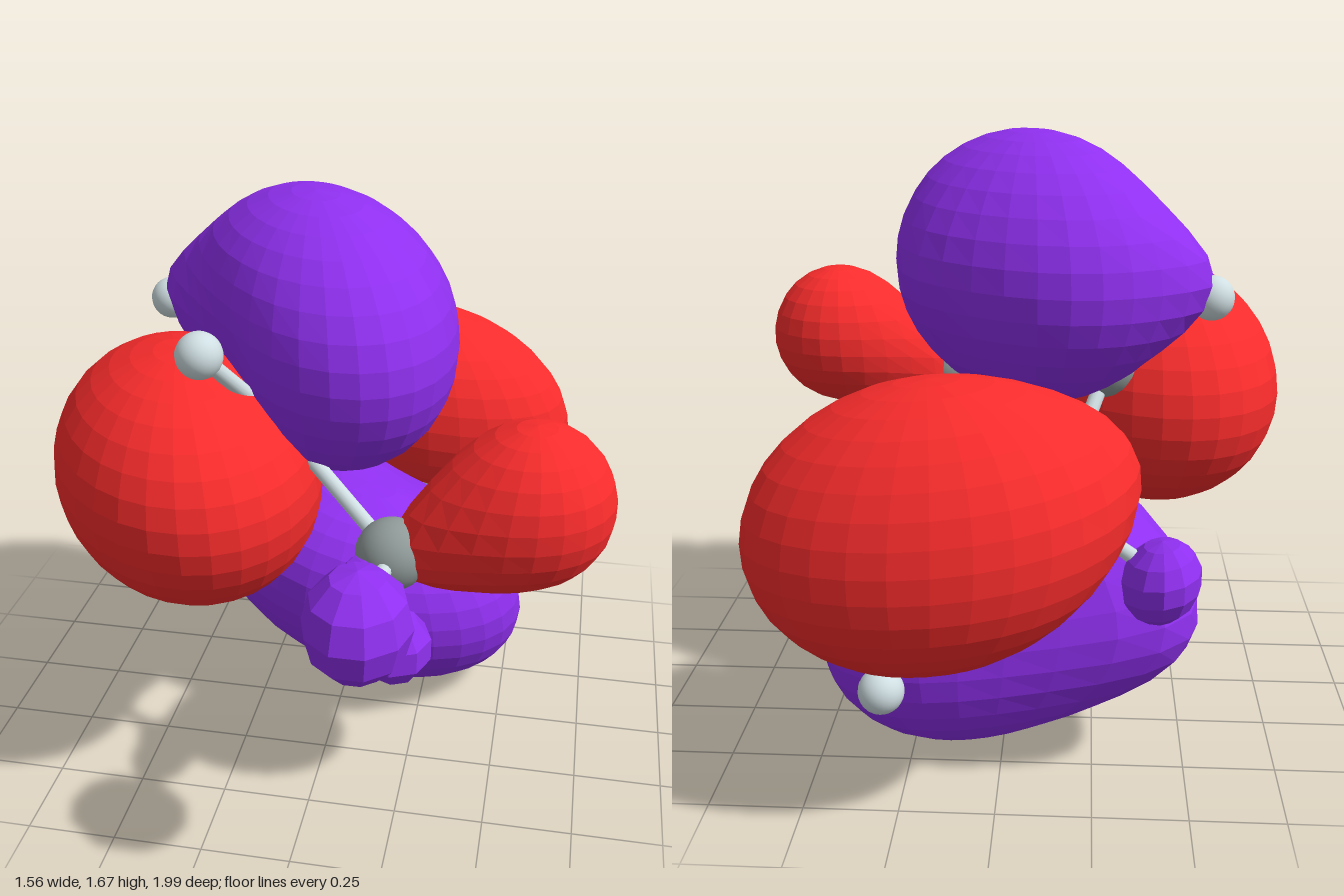
import * as THREE from 'three';

const PURPLE = 0x9030f0, RED = 0xfa2c2c, CARBON = 0x8f9a98, PALE = 0xd0dfe3;

const V = (a) => new THREE.Vector3(...a);
const paint = (color, flatShading = false) => new THREE.MeshStandardMaterial({ color, flatShading });

export function createModel() {
  const model = new THREE.Group();
  const purple = paint(PURPLE, true), red = paint(RED, true);
  const carbonMat = paint(CARBON), paleMat = paint(PALE);

  function add(name, geometry, material) {
    const mesh = new THREE.Mesh(geometry, material);
    mesh.name = name;
    model.add(mesh);
    return mesh;
  }

  // Lobe: a unit sphere sheared into a tilted ellipsoid, then bulged or dented.
  // shape = [ax, bx, by, cx, cy, cz]: x = ax*u, y = bx*u + by*v, z = cx*u + cy*v + cz*w
  // bulges = [direction, push, sharpness]: the push fades with the angle from the direction
  function lobe(name, material, centre, shape, bulges = [], segments = 30) {
    const geometry = new THREE.SphereGeometry(1, segments, Math.round(segments * 0.6));
    const pos = geometry.attributes.position, p = new THREE.Vector3();
    const [ax, bx, by, cx, cy, cz] = shape;
    for (let i = 0; i < pos.count; i++) {
      const u = pos.getX(i), v = pos.getY(i), w = pos.getZ(i);
      p.set(ax * u, bx * u + by * v, cx * u + cy * v + cz * w);
      const direction = p.clone().normalize();
      for (const [towards, push, sharp] of bulges) {
        const cos = direction.dot(V(towards).normalize());
        p.addScaledVector(V(push), Math.exp(sharp * (cos - 1)));
      }
      p.add(V(centre));
      pos.setXYZ(i, p.x, p.y, p.z);
    }
    geometry.computeVertexNormals();
    add(name, geometry, material);
  }

  // Large lobes
  lobe('upperPurpleLobe', purple, [-0.055, 1.29, 0.05], [0.4, 0, 0.38, 0.17, 0.015, 0.465], [
    [[-0.5, 0, -0.25], [-0.11, 0, -0.05], 13],
    [[-0.4, -0.15, 0.4], [0.05, 0.02, -0.04], 4],
    [[0.5, 0, -0.4], [0.03, 0, -0.03], 4],
  ]);
  lobe('lowerPurpleLobe', purple, [0.07, 0.37, -0.2], [0.475, -0.09, 0.358, 0, 0.1, 0.387], [
    [[-0.5, 0.05, -0.35], [-0.19, 0.04, -0.12], 5],
    [[-0.2, 0.37, -0.16], [-0.02, 0.08, -0.04], 9],
  ]);
  lobe('lowerPurpleTail', purple, [-0.42, 0.58, -0.55], [0.105, -0.02, 0.11, 0.01, 0, 0.13],
    [[[0.1, -0.1, 0.2], [0.06, -0.06, 0.08], 3]], 12);
  lobe('frontRedLobe', red, [-0.387, 0.923, 0.24], [0.395, 0, 0.362, 0.12, 0.04, 0.475]);
  lobe('backRedLobe', red, [0.175, 0.765, -0.65], [0.475, -0.05, 0.36, 0.03, 0.05, 0.345],
    [[[-0.5, 0.09, 0.23], [-0.1, 0.03, 0.05], 6]]);

  // Small lobes around the end of the chain
  lobe('sideRedLobe', red, [0.575, 0.995, 0.42], [0.21, 0, 0.215, 0, 0, 0.22],
    [[[-0.33, -0.16, 0.07], [-0.17, -0.08, 0.035], 3]], 22);
  lobe('frontPurpleBall', purple, [0.2, 0.865, 0.85], [0.135, 0, 0.145, 0, 0, 0.15], [], 10);
  lobe('frontPurpleNeck', purple, [0.17, 0.8, 0.57], [0.075, 0, 0.08, 0.02, 0.03, 0.1],
    [[[0.02, 0.05, 0.17], [0.01, 0.02, 0.07], 6]], 8);
  lobe('lowPurpleBall', purple, [0.23, 0.515, 0.42], [0.105, 0, 0.105, 0, 0, 0.11],
    [[[0.01, -0.02, -0.18], [0, -0.01, -0.07], 8]], 8);

  // Atoms
  const carbons = [
    [0.23, 0.86, 0.51], [-0.11, 1.11, 0.3], [-0.28, 1.04, -0.12],
    [-0.14, 0.72, -0.38], [0.2, 0.58, -0.44],
  ];
  const hydrogens = [ // position, carbon it hangs on
    [[0.2, 0.865, 0.85], 0], [[0.23, 0.52, 0.4], 0], [[0.55, 0.98, 0.43], 0],
    [[-0.265, 1.355, 0.48], 1], [[-0.55, 1.25, -0.2], 2], [[-0.42, 0.6, -0.57], 3],
    [[0.5, 0.635, -0.26], 4], [[0.3, 0.3, -0.66], 4],
  ];
  const atom = (name, at, radius, material) =>
    add(name, new THREE.SphereGeometry(radius, 24, 16), material).position.copy(V(at));
  carbons.forEach((at) => atom('largeAtom', at, 0.095, carbonMat));
  hydrogens.forEach(([at]) => atom('smallAtom', at, 0.061, paleMat));

  // Bonds
  function bond(from, to) {
    const a = V(from), d = V(to).sub(a);
    const mesh = add('bond', new THREE.CylinderGeometry(0.021, 0.021, d.length(), 12), paleMat);
    mesh.position.copy(a).addScaledVector(d, 0.5);
    mesh.quaternion.setFromUnitVectors(new THREE.Vector3(0, 1, 0), d.normalize());
  }
  for (let i = 1; i < carbons.length; i++) bond(carbons[i - 1], carbons[i]);
  hydrogens.forEach(([at, i]) => bond(at, carbons[i]));

  return model;
}
